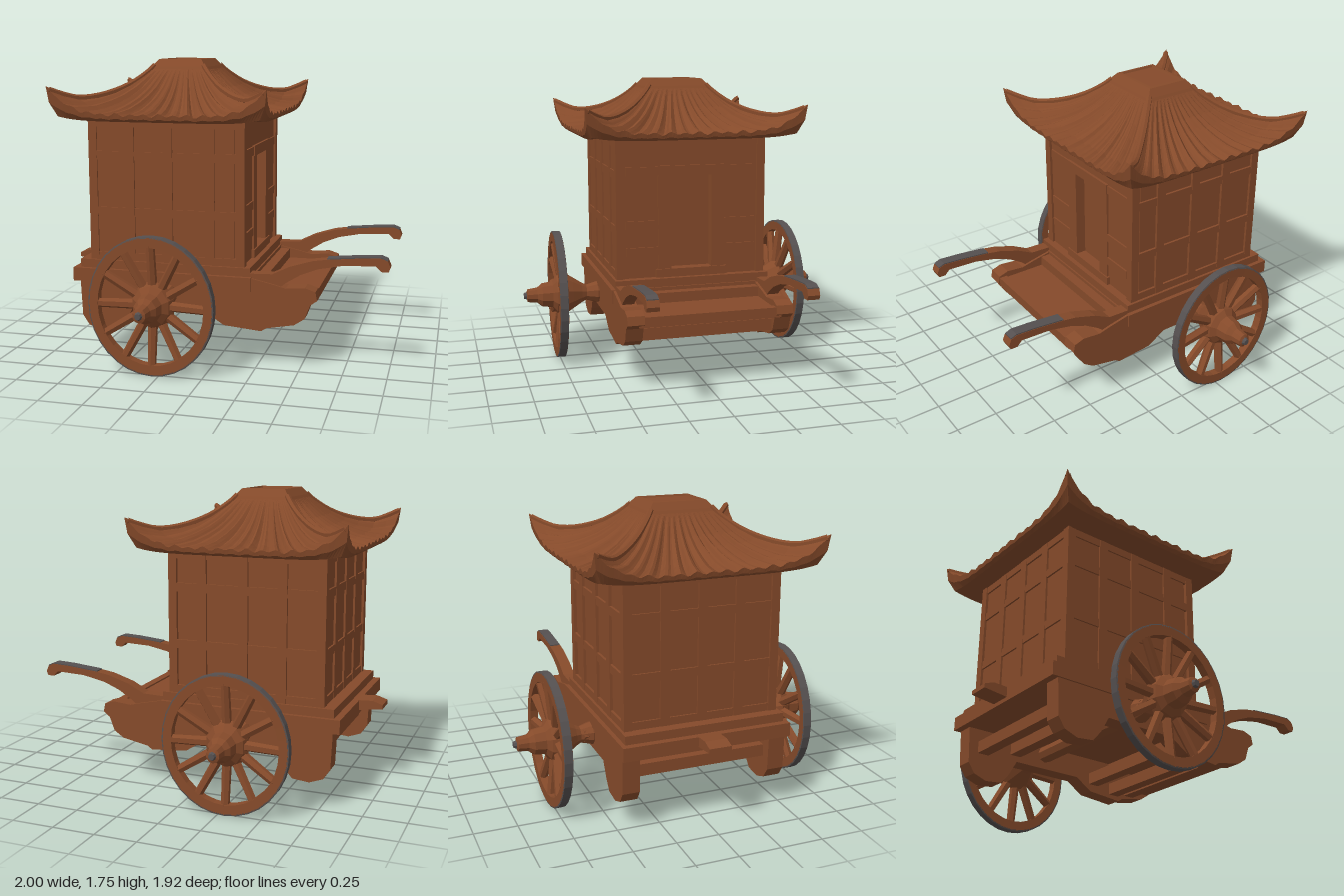
import * as THREE from 'three';

const wood = new THREE.MeshStandardMaterial({ color: 0x854a2a, flatShading: true });
wood.name = 'brown wood';
const iron = new THREE.MeshStandardMaterial({ color: 0x555050, flatShading: true, side: THREE.DoubleSide });
iron.name = 'grey iron';

const CX = -0.29; // centre of cabin and wheels along x

function add(parent, name, geometry, material = wood) {
  const mesh = new THREE.Mesh(geometry, material);
  mesh.name = name;
  parent.add(mesh);
  return mesh;
}

// Box given by its limits on each axis
function box(parent, name, x0, x1, y0, y1, z0, z1) {
  const mesh = add(parent, name, new THREE.BoxGeometry(x1 - x0, y1 - y0, z1 - z0));
  mesh.position.set((x0 + x1) / 2, (y0 + y1) / 2, (z0 + z1) / 2);
}

const shapeOf = (pts) => new THREE.Shape(pts.map(([x, y]) => new THREE.Vector2(x, y)));

// Side profile in x/y, extruded between z0 and z1
function plate(parent, name, shape, z0, z1, material = wood) {
  const geo = new THREE.ExtrudeGeometry(shape, { depth: z1 - z0, bevelEnabled: false });
  geo.translate(0, 0, z0);
  return add(parent, name, geo, material);
}

// Swept roof lofted from square rings: [half width, mid height, corner lift, corner stretch, rib depth]
function roofGeometry() {
  const rings = [
    [0, 1.41, 0, 0, 0], [0.44, 1.41, 0, 0, 0], [0.585, 1.41, 0.025, 0, 0],
    [0.605, 1.425, 0.09, 0.025, 0.003], [0.61, 1.45, 0.155, 0.035, 0.008],
    [0.56, 1.455, 0.115, 0.02, 0.01], [0.5, 1.465, 0.075, 0, 0.011], [0.42, 1.495, 0.05, 0, 0.011],
    [0.35, 1.53, 0.035, 0, 0.01], [0.28, 1.58, 0.025, 0, 0.008], [0.22, 1.64, 0.01, 0, 0.005],
    [0.175, 1.69, 0, 0, 0], [0.165, 1.705, 0, 0, 0], [0.13, 1.748, 0, 0, 0],
    [0.112, 1.75, 0, 0, 0], [0.107, 1.74, 0, 0, 0], [0, 1.74, 0, 0, 0],
  ];
  const N = 72, pos = [], index = [];
  rings.forEach(([o, y, lift, stretch, rib], r) => {
    for (let k = 0; k <= 4 * N; k++) {
      const side = Math.floor(k / N) % 4, u = ((k % N) / N) * 2 - 1;
      const [px, pz] = [[u, 1], [1, -u], [-u, -1], [-1, u]][side];
      const w = Math.abs(u) ** 6;
      const ripple = (Math.sin(u * 46 + side) + 0.5 * Math.sin(u * 29 + 2 * side)) * rib * (1 - w);
      const k2 = 1 + stretch * w;
      pos.push(CX + o * px * k2, y + lift * w + ripple, (o ? o + 0.03 : 0) * pz * k2);
      if (r < rings.length - 1 && k < 4 * N) {
        const a = r * (4 * N + 1) + k, c = a + 4 * N + 1;
        index.push(a, a + 1, c + 1, a, c + 1, c);
      }
    }
  });
  const geo = new THREE.BufferGeometry();
  geo.setAttribute('position', new THREE.Float32BufferAttribute(pos, 3));
  geo.setIndex(index);
  geo.computeVertexNormals();
  return geo;
}

function makeRoof() {
  const roof = new THREE.Group();
  roof.name = 'roof';
  add(roof, 'roofShell', roofGeometry());
  // Hip ridges running out to the upturned corners
  for (const sx of [-1, 1]) for (const sz of [-1, 1]) {
    const pts = [[0.15, 1.715], [0.19, 1.67], [0.28, 1.6], [0.4, 1.55], [0.5, 1.54], [0.57, 1.565], [0.62, 1.59]]
      .map(([o, y]) => new THREE.Vector3(CX + sx * o, y - 0.005, sz * (o + 0.03)));
    add(roof, 'hipRidge', new THREE.TubeGeometry(new THREE.CatmullRomCurve3(pts), 14, 0.018, 6));
  }
  return roof;
}

function makeCabin() {
  const cabin = new THREE.Group();
  cabin.name = 'cabin';
  box(cabin, 'cabinBody', -0.745, 0.11, 0.55, 1.42, -0.445, 0.45);
  // Door wall with its opening
  const wall = shapeOf([[-0.44, 0.55], [0.44, 0.55], [0.44, 1.42], [-0.44, 1.42]]);
  wall.holes.push(new THREE.Path([[-0.125, 0.63], [-0.125, 1.19], [0.125, 1.19], [0.125, 0.63]]
    .map(([x, y]) => new THREE.Vector2(x, y))));
  const door = plate(cabin, 'doorWall', wall, 0, 0.05);
  door.rotation.y = Math.PI / 2;
  door.position.x = 0.11;
  for (const s of [-1, 1]) {
    box(cabin, 'doorJamb', 0.15, 0.172, 0.6, 1.24, s * 0.165 - 0.04, s * 0.165 + 0.04);
    for (const y of [0.74, 0.9, 1.22]) box(cabin, 'doorWallRail', 0.15, 0.17, y - 0.025, y + 0.025, s * 0.3 - 0.1, s * 0.3 + 0.1);
    // Corner posts
    for (const x of [-0.735, 0.15]) box(cabin, 'cornerPost', x - 0.025, x + 0.025, 0.55, 1.42, s * 0.435 - 0.025, s * 0.435 + 0.025);
    // Lattice on the long walls
    const z = s * 0.449;
    for (const x of [-0.51, -0.28, -0.03]) box(cabin, 'wallStud', x - 0.028, x + 0.028, 0.57, 1.42, z - 0.012, z + 0.012);
    for (const y of [0.6, 0.87, 1.2, 1.39]) box(cabin, 'wallRail', -0.74, 0.15, y - 0.025, y + 0.025, z - 0.01, z + 0.01);
  }
  box(cabin, 'doorLintel', 0.15, 0.176, 1.19, 1.25, -0.205, 0.205);
  box(cabin, 'doorSill', 0.15, 0.18, 0.57, 0.63, -0.22, 0.22);
  box(cabin, 'doorTopRail', 0.15, 0.17, 1.37, 1.42, -0.44, 0.44);
  // Lattice on the rear wall
  for (const z of [-0.22, 0, 0.22]) box(cabin, 'rearStud', -0.757, -0.73, 0.57, 1.42, z - 0.028, z + 0.028);
  for (const y of [0.6, 0.87, 1.2, 1.39]) box(cabin, 'rearRail', -0.755, -0.73, y - 0.025, y + 0.025, -0.44, 0.44);
  return cabin;
}

function makeChassis() {
  const chassis = new THREE.Group();
  chassis.name = 'chassis';
  box(chassis, 'upperSill', -0.82, 0.21, 0.52, 0.58, -0.475, 0.475);
  box(chassis, 'lowerSill', -0.86, 0.22, 0.45, 0.53, -0.5, 0.5);
  plate(chassis, 'rearStub', shapeOf([[-1, 0.49], [-0.84, 0.47], [-0.84, 0.53], [-0.94, 0.535], [-1, 0.515]]), -0.065, 0.065);
  box(chassis, 'frontStep', 0.2, 0.28, 0.44, 0.51, -0.42, 0.42);
  box(chassis, 'platform', 0.2, 0.57, 0.42, 0.45, -0.42, 0.42);
  box(chassis, 'platformEdge', 0.54, 0.59, 0.4, 0.46, -0.42, 0.42);
  // Cross slats under the body
  for (const [x, y] of [[-0.72, 0.34], [-0.5, 0.38], [0.08, 0.32], [0.24, 0.285], [0.36, 0.3], [0.48, 0.34]])
    box(chassis, 'crossSlat', x - 0.035, x + 0.035, y - 0.035, y + 0.035, -0.42, 0.42);

  // Side planks with rear feet and a carved recess near the front
  const outline = [[-0.82, 0.46], [-0.81, 0.24], [-0.77, 0.18], [-0.69, 0.15], [-0.59, 0.16], [-0.54, 0.22], [-0.49, 0.31],
    [-0.05, 0.31], [0.06, 0.24], [0.28, 0.22], [0.31, 0.24], [0.47, 0.27], [0.53, 0.31], [0.56, 0.39], [0.6, 0.42],
    [0.59, 0.47], [0.53, 0.49], [0.42, 0.48], [0.34, 0.5], [0.2, 0.53], [0.2, 0.46]].reverse();
  const outer = shapeOf(outline);
  outer.holes.push(new THREE.Path([[0.24, 0.35], [0.27, 0.42], [0.4, 0.42], [0.38, 0.36]]
    .map(([x, y]) => new THREE.Vector2(x, y))));
  // Curved pulling shafts with iron strips on top
  const shaftTop = [[0.18, 0.55], [0.34, 0.555], [0.44, 0.605], [0.57, 0.645], [0.65, 0.657], [0.84, 0.675], [0.95, 0.68], [0.985, 0.665]];
  const shaft = shapeOf([[0.18, 0.45], [0.36, 0.46], [0.42, 0.51], [0.5, 0.56], [0.6, 0.6], [0.74, 0.628], [0.92, 0.635],
    [0.95, 0.605], [0.99, 0.605], [1, 0.63], ...[...shaftTop].reverse()]);
  const top = shaftTop.slice(4);
  const strip = shapeOf([...top, ...[...top].reverse().map(([x, y]) => [x, y + 0.006])]);
  for (const s of [-1, 1]) {
    const at = (name, shape, a, b, mat) => plate(chassis, name, shape, Math.min(s * a, s * b), Math.max(s * a, s * b), mat);
    at('sidePlankInner', shapeOf(outline), 0.39, 0.45);
    at('sidePlankOuter', outer, 0.45, 0.49);
    at('shaft', shaft, 0.405, 0.475);
    at('shaftStrip', strip, 0.408, 0.472, iron);
  }
  return chassis;
}

const lathe = (pts, n) => new THREE.LatheGeometry(pts.map(([r, y]) => new THREE.Vector2(r, y)), n);

// Spoked wheel with its axle along local y, outer side at +y
function makeWheel() {
  const wheel = new THREE.Group();
  wheel.name = 'wheel';
  add(wheel, 'rim', lathe([[0.338, -0.024], [0.394, -0.025], [0.394, 0.025], [0.338, 0.024], [0.338, -0.024]], 32));
  add(wheel, 'tyre', lathe([[0.391, -0.0255], [0.4, -0.023], [0.4, 0.023], [0.391, 0.0255]], 32), iron);
  // Dished spokes leaning in towards the hub
  const up = new THREE.Vector3(0, 1, 0);
  for (let i = 0; i < 12; i++) {
    const a = (i / 12) * Math.PI * 2;
    const from = new THREE.Vector3(Math.cos(a) * 0.08, -0.03, Math.sin(a) * 0.08);
    const to = new THREE.Vector3(Math.cos(a) * 0.35, 0, Math.sin(a) * 0.35);
    const dir = to.clone().sub(from);
    const spoke = add(wheel, 'spoke', new THREE.CylinderGeometry(0.026, 0.03, dir.length(), 6));
    spoke.position.copy(from).add(to).multiplyScalar(0.5);
    spoke.quaternion.setFromUnitVectors(up, dir.normalize());
  }
  add(wheel, 'hub', lathe([[0.055, -0.3], [0.07, -0.25], [0.05, -0.18], [0.065, -0.15], [0.105, -0.09], [0.14, -0.035],
    [0.12, 0.01], [0.085, 0.035], [0.075, 0.1], [0.05, 0.13], [0.042, 0.19], [0, 0.205]], 10));
  add(wheel, 'axlePin', new THREE.CylinderGeometry(0.018, 0.026, 0.02, 8), iron).position.y = 0.203;
  return wheel;
}

export function createModel() {
  const model = new THREE.Group();
  model.name = 'coveredCart';
  model.add(makeRoof(), makeCabin(), makeChassis());
  for (const s of [-1, 1]) {
    const wheel = makeWheel();
    wheel.position.set(CX, 0.4, s * 0.748);
    wheel.rotation.set(s * Math.PI / 2, s * -0.025, 0, 'YXZ'); // slight toe-out
    wheel.scale.x = 0.92;
    model.add(wheel);
  }
  const axle = add(model, 'axle', new THREE.CylinderGeometry(0.05, 0.05, 1.1, 8));
  axle.position.set(CX, 0.4, 0);
  axle.rotation.x = Math.PI / 2;
  return model;
}
